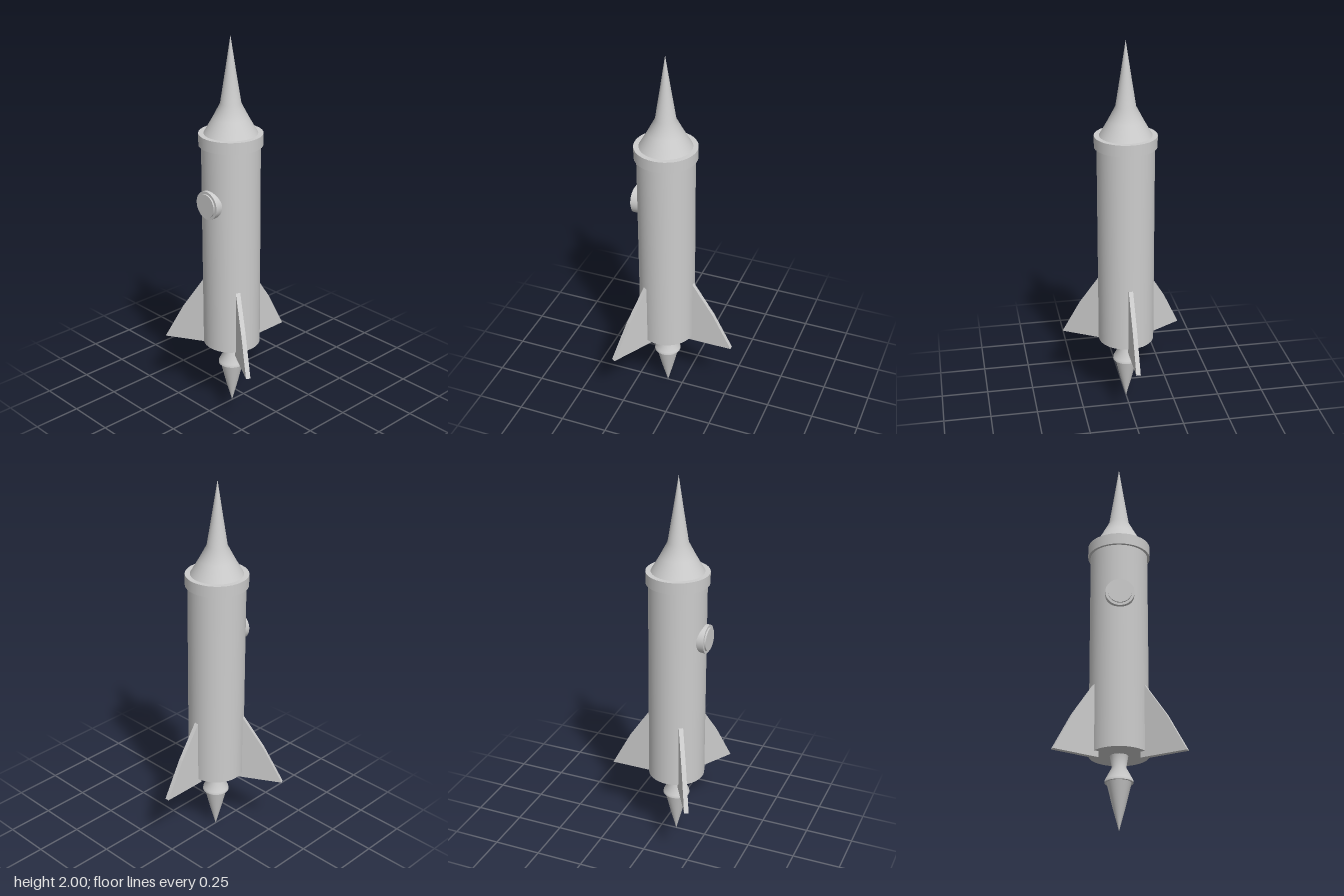
import * as THREE from 'three';

const AXIS_Z = 0.085; // the hull axis sits forward because of the rear fin

export function createModel() {
  const model = new THREE.Group();
  model.name = 'rocket';
  const rocket = new THREE.Group();
  rocket.name = 'rocketBody';
  rocket.position.z = AXIS_Z;
  model.add(rocket);

  const grey = new THREE.MeshStandardMaterial({ color: 0xcccccc });
  grey.name = 'light grey';

  const add = (name, geometry, parent = rocket) => {
    const mesh = new THREE.Mesh(geometry, grey);
    mesh.name = name;
    parent.add(mesh);
    return mesh;
  };
  // Profile points are [radius, height], listed from bottom to top
  const lathe = (points) =>
    new THREE.LatheGeometry(points.map(([r, y]) => new THREE.Vector2(r, y)), 40);
  const disc = (radius, bottom, top) =>
    new THREE.CylinderGeometry(radius, radius, top - bottom, 40).translate(0, (bottom + top) / 2, 0);

  // Hull and collar
  add('hull', disc(0.147, 0.37, 1.46));
  add('collar', disc(0.16, 1.455, 1.515));

  // Nose: flared skirt and slender spike
  add('nose', lathe([[0.134, 1.515], [0.09, 1.592], [0.052, 1.665], [0.026, 1.83], [0, 2]]));

  // Engine nozzle with a closed underside, and pointed flame
  add('nozzle', lathe([[0.07, 0.236], [0.068, 0.25], [0.035, 0.312], [0.045, 0.371]]));
  add('nozzleBase', new THREE.CircleGeometry(0.07, 40).rotateX(Math.PI / 2).translate(0, 0.236, 0));
  add('flame', lathe([[0, 0], [0.031, 0.115], [0.06, 0.236]]));

  // Porthole: outer frame with a raised pane
  const porthole = new THREE.Group();
  porthole.name = 'porthole';
  porthole.position.y = 1.175;
  porthole.rotation.x = Math.PI / 2;
  rocket.add(porthole);
  add('portholeFrame', disc(0.073, 0.11, 0.165), porthole);
  add('portholePane', disc(0.06, 0.12, 0.173), porthole);

  // Three fins, one at the back and two towards the front
  const thickness = 0.023;
  const outline = new THREE.Shape();
  outline.moveTo(0.122, 0.34);
  outline.lineTo(0.366, 0.34);
  outline.lineTo(0.262, 0.536);
  outline.lineTo(0.147, 0.71);
  outline.lineTo(0.122, 0.748);
  outline.closePath();
  const finGeometry = new THREE.ExtrudeGeometry(outline, { depth: thickness, bevelEnabled: false })
    .translate(0, 0, -thickness / 2);
  ['backFin', 'rightFin', 'leftFin'].forEach((name, i) => {
    add(name, finGeometry).rotation.y = Math.PI / 2 + (i * Math.PI * 2) / 3;
  });

  return model;
}
